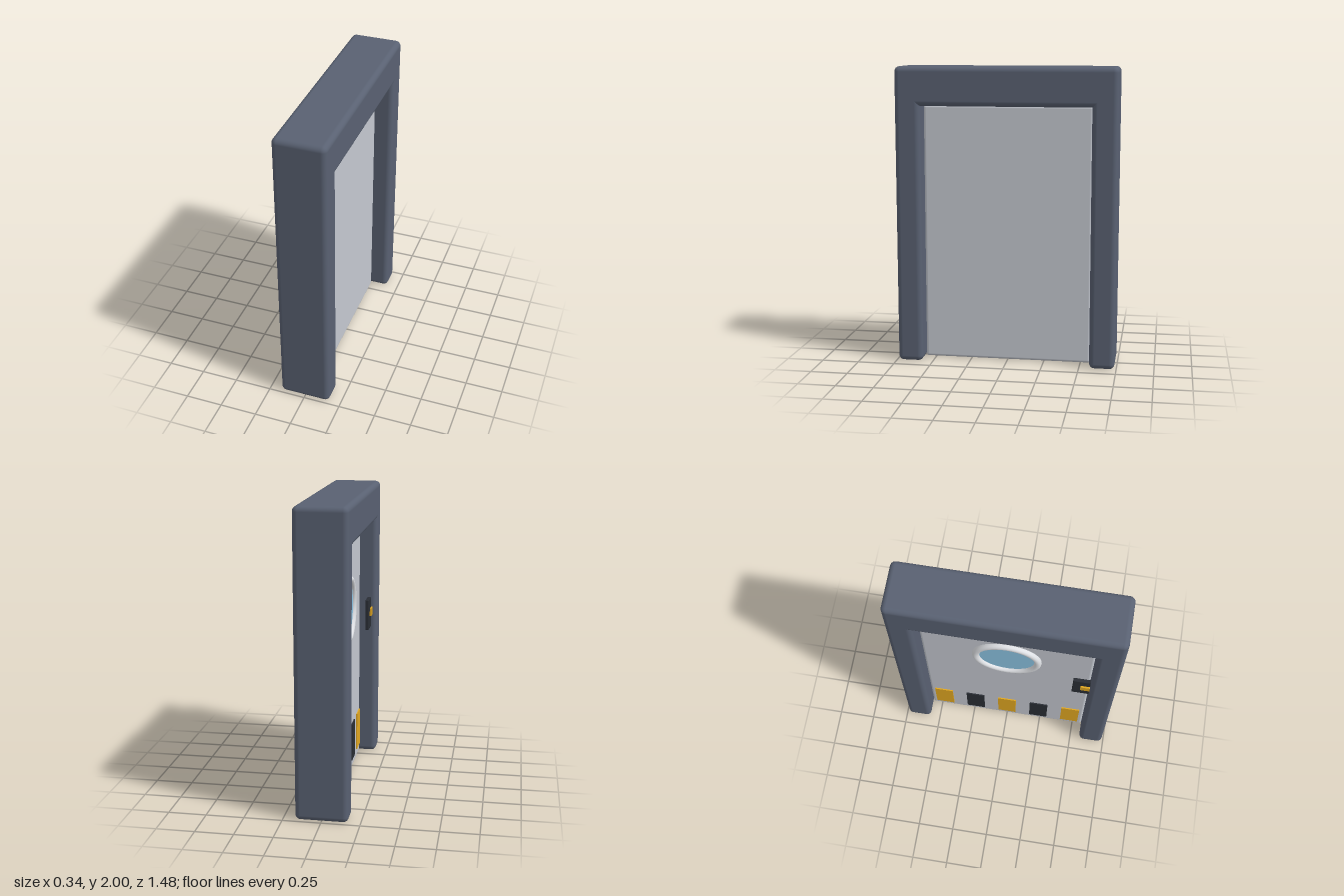
import * as THREE from 'three';
import { RoundedBoxGeometry } from 'three/addons/geometries/RoundedBoxGeometry.js';

const mat = (name, color) => {
  const m = new THREE.MeshStandardMaterial({ color });
  m.name = name;
  return m;
};

export function createModel() {
  const group = new THREE.Group();
  const frameGrey = mat('frameGrey', 0x596172);
  const doorGrey = mat('doorGrey', 0xc4c8d0);
  const ringSilver = mat('ringSilver', 0xe0e2e6);
  const glassBlue = mat('glassBlue', 0x8cc4e4);
  const yellow = mat('yellow', 0xe2a822);
  const black = mat('black', 0x2a2e35);

  const add = (name, geometry, material, x, y, z) => {
    const mesh = new THREE.Mesh(geometry, material);
    mesh.name = name;
    mesh.position.set(x, y, z);
    group.add(mesh);
    return mesh;
  };

  // Frame: two jambs and a lintel with soft edges
  for (const s of [1, -1]) {
    add(s > 0 ? 'frontJamb' : 'backJamb', new RoundedBoxGeometry(0.344, 2, 0.17, 3, 0.035),
      frameGrey, 0, 1, s * 0.653);
  }
  add('lintel', new RoundedBoxGeometry(0.344, 0.26, 1.476, 3, 0.035), frameGrey, 0, 1.87, 0);

  // Door slab
  add('door', new RoundedBoxGeometry(0.1, 1.738, 1.136, 3, 0.018), doorGrey, 0, 0.873, 0);

  // Round porthole on the -x side
  const ring = add('windowRing', new THREE.TorusGeometry(0.207, 0.025, 12, 40), ringSilver, -0.055, 1.213, 0);
  ring.rotation.y = -Math.PI / 2;
  const glass = add('windowGlass', new THREE.CylinderGeometry(0.2, 0.2, 0.009, 40), glassBlue, -0.054, 1.213, 0);
  glass.rotation.z = Math.PI / 2;

  // Hazard stripes along the foot of the door
  for (let i = -2; i <= 2; i++) {
    add('hazardStripe', new THREE.BoxGeometry(0.009, 0.27, 0.131),
      i % 2 === 0 ? yellow : black, -0.054, 0.204, i * 0.235);
  }

  // Keypad projecting from the jamb
  add('keypad', new RoundedBoxGeometry(0.025, 0.22, 0.15, 2, 0.006), black, -0.118, 1.07, 0.527);
  add('keypadButton', new THREE.BoxGeometry(0.014, 0.055, 0.08), yellow, -0.135, 1.08, 0.545);

  return group;
}
